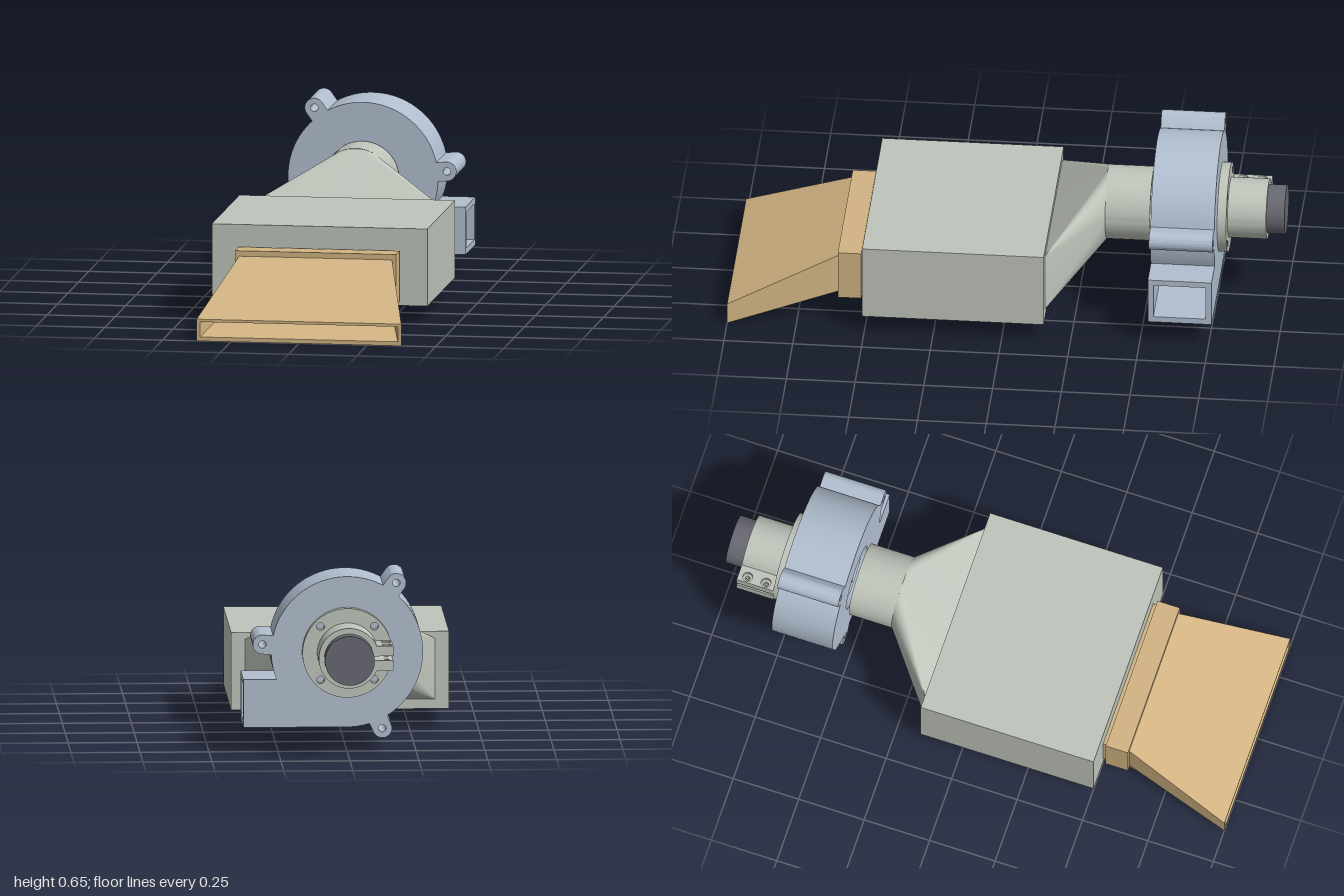
import * as THREE from 'three';
import { toCreasedNormals } from 'three/addons/utils/BufferGeometryUtils.js';
import { ConvexGeometry } from 'three/addons/geometries/ConvexGeometry.js';

const AXIS = 0.365; // height of the fan axis
const rad = THREE.MathUtils.degToRad;
const paint = (name, color) => {
  const m = new THREE.MeshStandardMaterial({ color });
  m.name = name;
  return m;
};

// Points of an arc about the origin, angles in degrees
function arc(r, a0, a1, cx = 0, cy = 0) {
  const n = Math.max(2, Math.ceil(Math.abs(a1 - a0) / 4));
  return Array.from({ length: n + 1 }, (_, i) => {
    const a = rad(a0 + ((a1 - a0) * i) / n);
    return new THREE.Vector2(cx + r * Math.cos(a), cy + r * Math.sin(a));
  });
}
const v = (x, y) => new THREE.Vector2(x, y);

// Flat shape with round holes [x, y, r], extruded from z0 to z1
function slab(points, holes, z0, z1) {
  const shape = new THREE.Shape(points);
  for (const [x, y, r] of holes) shape.holes.push(new THREE.Path(arc(r, 360, 0, x, y).slice(0, -1)));
  const g = new THREE.ExtrudeGeometry(shape, { depth: z1 - z0, bevelEnabled: false });
  g.translate(0, 0, z0);
  return toCreasedNormals(g, 0.4);
}

// Flat-faced skin through rectangles [z, halfWidth, yBottom, yTop]
function rectLoft(sections) {
  const rings = sections.map(([z, w, a, b]) => [[-w, a, z], [w, a, z], [w, b, z], [-w, b, z]]);
  const pos = [];
  for (let s = 0; s < rings.length - 1; s++) {
    for (let i = 0; i < 4; i++) {
      const j = (i + 1) % 4, p = rings[s], q = rings[s + 1];
      pos.push(...p[i], ...p[j], ...q[j], ...p[i], ...q[j], ...q[i]);
    }
  }
  const g = new THREE.BufferGeometry();
  g.setAttribute('position', new THREE.Float32BufferAttribute(pos, 3));
  g.computeVertexNormals();
  return g;
}

export function createModel() {
  const model = new THREE.Group();
  const grey = paint('duct grey', 0xbfc5bb);
  const tan = paint('tan', 0xd2b483);
  const blue = paint('housing blue grey', 0xb2bfd0);
  const dark = paint('motor dark grey', 0x686873);
  const add = (name, geo, mat, parent = model) => {
    const m = new THREE.Mesh(geo, mat);
    m.name = name;
    parent.add(m);
    return m;
  };

  // Central chamber
  add('chamber', new THREE.BoxGeometry(0.79, 0.283, 0.66), grey).position.set(0, 0.209, 0.177);

  // Front nozzle: neck, collar, flared mouth and its inside
  add('nozzle', rectLoft([
    [0.505, 0.285, 0.1, 0.255], [0.52, 0.285, 0.1, 0.255],
    [0.52, 0.295, 0.083, 0.27], [0.605, 0.295, 0.083, 0.27],
    [0.605, 0.28, 0.1, 0.25], [1, 0.375, 0, 0.08],
    [1, 0.362, 0.015, 0.07], [0.6, 0.265, 0.115, 0.235], [0.508, 0.265, 0.115, 0.235],
  ]), tan);

  // Rectangle-to-round transition
  const hull = arc(0.135, 0, 356).map((p) => new THREE.Vector3(p.x, p.y + AXIS, -0.352));
  for (const x of [-0.345, 0.345]) for (const y of [0.102, 0.325]) hull.push(new THREE.Vector3(x, y, -0.152));
  add('transition', toCreasedNormals(new ConvexGeometry(hull), 0.15), grey);

  // Everything below turns about the fan axis
  const fan = new THREE.Group();
  fan.name = 'fanAssembly';
  fan.position.y = AXIS;
  model.add(fan);

  // Round inlet pipe
  add('inletPipe', slab(arc(0.135, 0, 356), [[0, 0, 0.12]], -0.515, -0.35), grey, fan);

  // Scroll housing outline: outlet, rim and three mounting lugs
  const R = 0.275, lugR = 0.035, lugDist = 0.308, lugs = [5.3, 125.5, 245.5];
  const half = THREE.MathUtils.radToDeg(Math.asin(lugR / R));
  const top = -0.1, bottom = -R, end = 0.376;
  const rim = [];
  let from = THREE.MathUtils.radToDeg(Math.asin(top / R));
  for (const a of lugs) {
    rim.push(...arc(R, from, a - half));
    rim.push(...arc(lugR, a - 90, a + 90, lugDist * Math.cos(rad(a)), lugDist * Math.sin(rad(a))));
    from = a + half;
  }
  rim.push(...arc(R, from, 270));
  const outline = [v(end, bottom), v(end, top), ...rim];
  const bolts = lugs.map((a) => [lugDist * Math.cos(rad(a)), lugDist * Math.sin(rad(a)), 0.0135]);

  // Housing: front plate, open scroll wall, back plate
  const wall = 0.022, r = R - wall;
  const innerTop = top - wall;
  const innerAngle = THREE.MathUtils.radToDeg(Math.asin(innerTop / r));
  const scroll = [v(end, top), ...rim, v(end, bottom), v(end, bottom + wall),
    ...arc(r, 270, innerAngle), v(end, innerTop)];
  add('housingFront', slab(outline, [...bolts, [0, 0, 0.12]], -0.55, -0.53), blue, fan);
  add('housingWall', slab(scroll, bolts, -0.74, -0.55), blue, fan);
  add('housingBack', slab(outline, bolts, -0.762, -0.74), blue, fan);

  // Impeller inside the housing
  const impeller = new THREE.Group();
  impeller.name = 'impeller';
  fan.add(impeller);
  add('impellerDisc', slab(arc(0.23, 0, 356), [], -0.72, -0.7), tan, impeller);
  add('impellerHub', slab(arc(0.06, 0, 356), [], -0.7, -0.58), tan, impeller);
  for (let i = 0; i < 12; i++) {
    const blade = add('impellerBlade', new THREE.BoxGeometry(0.175, 0.01, 0.135), tan, impeller);
    const a = rad(i * 30 + 15);
    blade.position.set(0.1425 * Math.cos(a), 0.1425 * Math.sin(a), -0.6325);
    blade.rotation.z = a;
  }

  // Motor mount: drilled flange and split clamp ring
  const screws = [45, 135, 225, 315].map((a) => [0.138 * Math.cos(rad(a)), 0.138 * Math.sin(rad(a)), 0.014]);
  add('mountFlange', slab(arc(0.163, 0, 356), screws, -0.795, -0.762), grey, fan);
  const ring = [...arc(0.11, -176, 176), ...arc(0.09, 175, -175)];
  add('clampRing', slab(ring, [], -0.935, -0.795), grey, fan);

  // Clamp ears with counterbored screw holes
  const earOutline = [v(-0.16, 0.795), v(-0.1, 0.795), v(-0.1, 0.935), v(-0.16, 0.935)];
  for (const side of [1, -1]) {
    for (const [y0, y1, hole] of [[0.008, 0.03, 0.009], [0.03, 0.045, 0.018]]) {
      const holes = [[-0.138, 0.83, hole], [-0.138, 0.9, hole]];
      const g = slab(earOutline, holes, Math.min(y0 * side, y1 * side), Math.max(y0 * side, y1 * side));
      g.rotateX(-Math.PI / 2);
      add('clampEar', g, grey, fan);
    }
  }

  // Motor body
  add('motor', slab(arc(0.09, 0, 356), [], -1, -0.765), dark, fan);

  return model;
}
